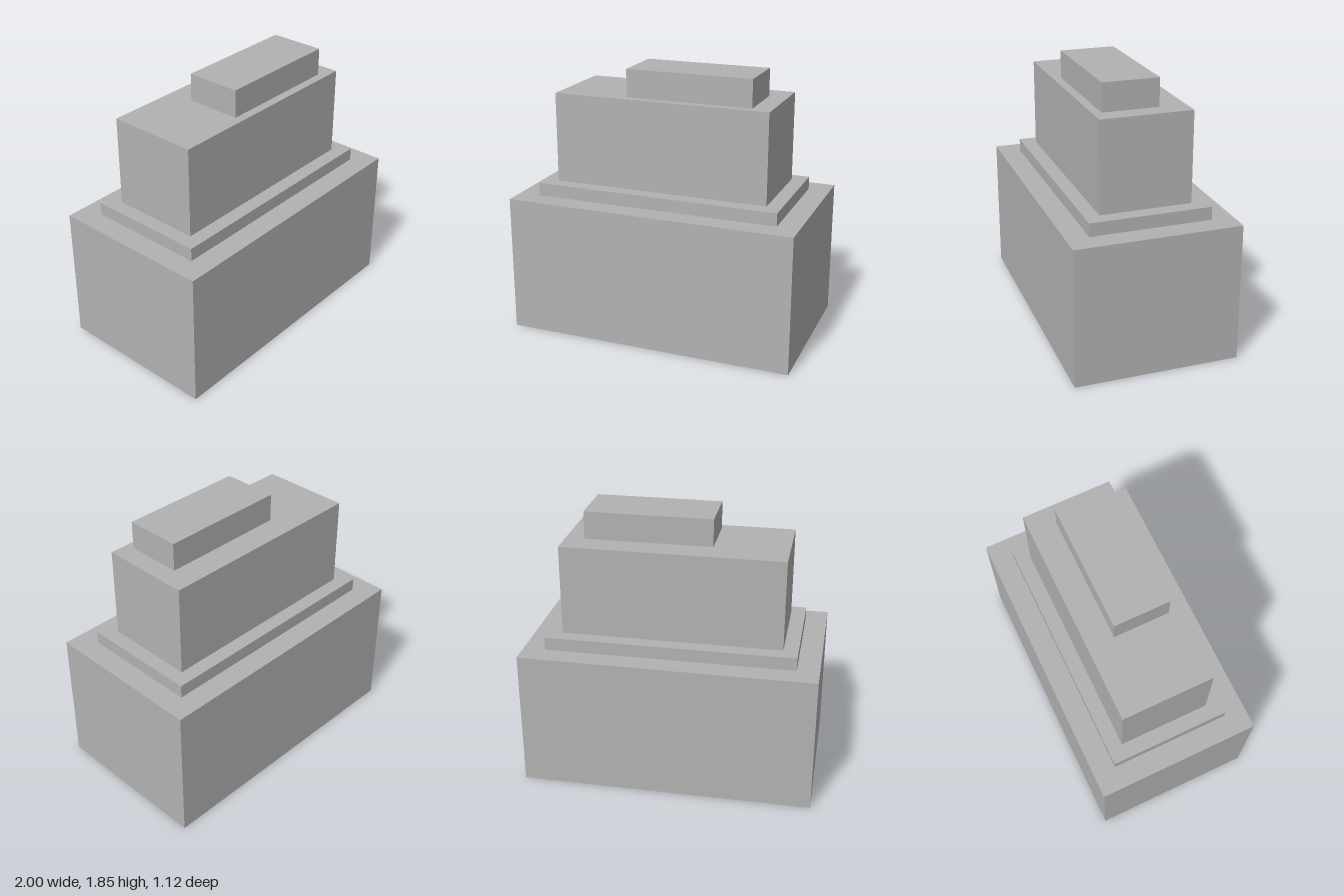
import * as THREE from 'three';

// Each tier: [name, xMin, xMax, zMin, zMax, yBottom, yTop]
const TIERS = [
  ['baseBlock', -1, 1, -0.56, 0.56, 0, 0.95],
  ['plinth', -0.85, 0.85, -0.41, 0.41, 0.95, 1.04],
  ['upperBlock', -0.75, 0.75, -0.31, 0.31, 1.04, 1.66],
  ['roofBlock', -0.25, 0.62, -0.13, 0.25, 1.66, 1.85],
];

// Rectangle in plan, drawn with shape y = -z so it lies flat after rotation
function trace(path, [, x0, x1, z0, z1]) {
  path.moveTo(x0, -z1);
  path.lineTo(x1, -z1);
  path.lineTo(x1, -z0);
  path.lineTo(x0, -z0);
  path.closePath();
  return path;
}

export function createModel() {
  const model = new THREE.Group();
  model.name = 'steppedBuilding';
  const grey = new THREE.MeshStandardMaterial({ color: 0xb2b2b2, side: THREE.DoubleSide });
  grey.name = 'grey';

  TIERS.forEach((tier, i) => {
    const [name, x0, x1, z0, z1, y0, y1] = tier;
    const group = new THREE.Group();
    group.name = name;

    const add = (part, geometry, x, y, z, rx, ry) => {
      const mesh = new THREE.Mesh(geometry, grey);
      mesh.name = part;
      mesh.position.set(x, y, z);
      mesh.rotation.set(rx, ry, 0);
      group.add(mesh);
    };

    // Four thin walls, open underneath
    const w = x1 - x0, d = z1 - z0, h = y1 - y0;
    const cx = (x0 + x1) / 2, cy = (y0 + y1) / 2, cz = (z0 + z1) / 2;
    add('frontWall', new THREE.PlaneGeometry(w, h), cx, cy, z1, 0, 0);
    add('backWall', new THREE.PlaneGeometry(w, h), cx, cy, z0, 0, Math.PI);
    add('leftWall', new THREE.PlaneGeometry(d, h), x1, cy, cz, 0, Math.PI / 2);
    add('rightWall', new THREE.PlaneGeometry(d, h), x0, cy, cz, 0, -Math.PI / 2);

    // Ledge around the next tier, or the closed roof on the last one
    const top = trace(new THREE.Shape(), tier);
    const next = TIERS[i + 1];
    if (next) top.holes.push(trace(new THREE.Path(), next));
    add(next ? 'ledge' : 'roof', new THREE.ShapeGeometry(top), 0, y1, 0, -Math.PI / 2, 0);

    model.add(group);
  });
  return model;
}
